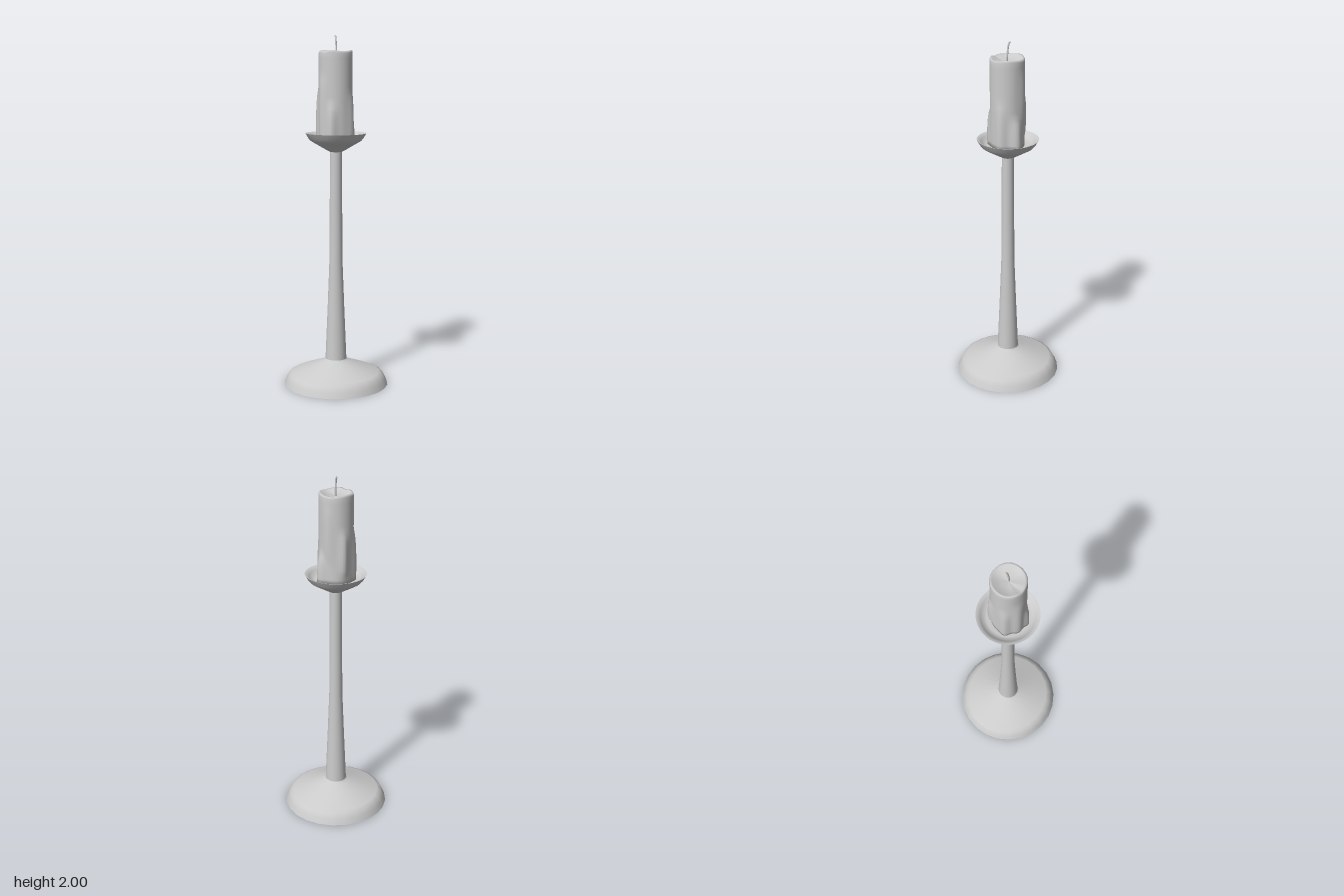
import * as THREE from 'three';

const wax = new THREE.MeshStandardMaterial({ color: 0xcccccc, side: THREE.DoubleSide });

function add(group, name, geometry) {
  const mesh = new THREE.Mesh(geometry, wax);
  mesh.name = name;
  group.add(mesh);
  return mesh;
}

// Turned part from [radius, height] pairs, listed bottom to top on the outside
const turned = (points, sides) =>
  new THREE.LatheGeometry(points.map(([r, y]) => new THREE.Vector2(r, y)), sides);

// Wax runs: direction in the xz plane, bulge, height of the middle, half length, angular width
const drips = [
  { x: 0, z: -1, bulge: 0.018, y: 1.58, half: 0.13, width: 0.22 },
  { x: 1, z: -0.13, bulge: 0.025, y: 1.43, half: 0.15, width: 0.3 },
  { x: 0.7, z: 0.75, bulge: 0.014, y: 1.47, half: 0.2, width: 0.28 },
  { x: -0.6, z: 0.8, bulge: 0.02, y: 1.46, half: 0.16, width: 0.25 },
  { x: -1, z: 0.28, bulge: 0.012, y: 1.55, half: 0.22, width: 0.3 },
  { x: -0.87, z: -0.5, bulge: 0.016, y: 1.5, half: 0.2, width: 0.25 },
  { x: 0.8, z: -0.6, bulge: 0.007, y: 1.7, half: 0.15, width: 0.25 },
];

function candleGeometry() {
  const points = [[0, 1.415], [0.094, 1.415]];
  for (let i = 1; i <= 16; i++) points.push([0.095, 1.415 + i * 0.0305]);
  points.push([0.091, 1.914], [0.082, 1.912], [0.065, 1.902], [0.035, 1.895], [0, 1.893]);
  const geometry = turned(points, 48);
  const p = geometry.attributes.position;
  for (let i = 0; i < p.count; i++) {
    let x = p.getX(i), y = p.getY(i), z = p.getZ(i);
    const r = Math.hypot(x, z);
    if (r < 0.01) continue;
    const angle = Math.atan2(z, x);
    if (r > 0.093 && y < 1.9) {
      // push the wall outward along each run
      let grow = 0;
      for (const d of drips) {
        let da = angle - Math.atan2(d.z, d.x);
        da = Math.atan2(Math.sin(da), Math.cos(da));
        const along = Math.max(0, 1 - ((y - d.y) / d.half) ** 2);
        grow = Math.max(grow, d.bulge * Math.sqrt(along) * Math.exp(-((da / d.width) ** 2)));
      }
      x *= 1 + grow / r;
      z *= 1 + grow / r;
    }
    if (y > 1.88) {
      // uneven melted rim with one shallow spout
      const spout = Math.exp(-(((angle - 2.65) / 0.25) ** 2));
      y += (r / 0.095) * (0.004 * Math.sin(3 * angle + 0.6) - 0.009 * spout);
    }
    p.setXYZ(i, x - 0.003, y, z + 0.002);
  }
  geometry.computeVertexNormals();
  // join the normals across the lathe seam
  const n = geometry.attributes.normal, rows = points.length, last = p.count - rows;
  for (let i = 0; i < rows; i++) {
    const v = new THREE.Vector3().fromBufferAttribute(n, i)
      .add(new THREE.Vector3().fromBufferAttribute(n, last + i)).normalize();
    n.setXYZ(i, v.x, v.y, v.z);
    n.setXYZ(last + i, v.x, v.y, v.z);
  }
  return geometry;
}

export function createModel() {
  const group = new THREE.Group();

  // Foot: flat underside, bevelled edge, sloping top
  add(group, 'footUnderside', new THREE.CircleGeometry(0.3, 24).rotateX(Math.PI / 2));
  add(group, 'foot', turned([[0.3, 0], [0.288, 0.03], [0.272, 0.06], [0.25, 0.071], [0.07, 0.14], [0.061, 0.15]], 24));

  // Tapered stem
  add(group, 'stem', turned([[0.061, 0.15], [0.048, 0.46], [0.038, 0.72], [0.036, 1], [0.034, 1.35]], 24));

  // Drip cup: flared outside, hollow inside, sharp rim
  add(group, 'cupOutside', turned([[0.034, 1.35], [0.05, 1.358], [0.125, 1.402], [0.142, 1.412], [0.155, 1.426], [0.172, 1.455]], 48));
  add(group, 'cupInside', turned([[0.172, 1.455], [0.16, 1.452], [0.148, 1.442], [0.135, 1.428], [0.115, 1.42], [0, 1.416]], 48));

  add(group, 'candle', candleGeometry());

  // Bent wick
  const path = new THREE.CatmullRomCurve3([
    [0, 1.885, 0.006], [0, 1.92, 0.004], [0, 1.96, 0], [0, 1.985, -0.004], [0, 1.998, -0.01],
  ].map((c) => new THREE.Vector3(...c)));
  add(group, 'wick', new THREE.TubeGeometry(path, 16, 0.005, 8));
  const tip = add(group, 'wickTip', new THREE.SphereGeometry(0.005, 8, 6));
  tip.position.set(0, 1.995, -0.01);

  return group;
}
